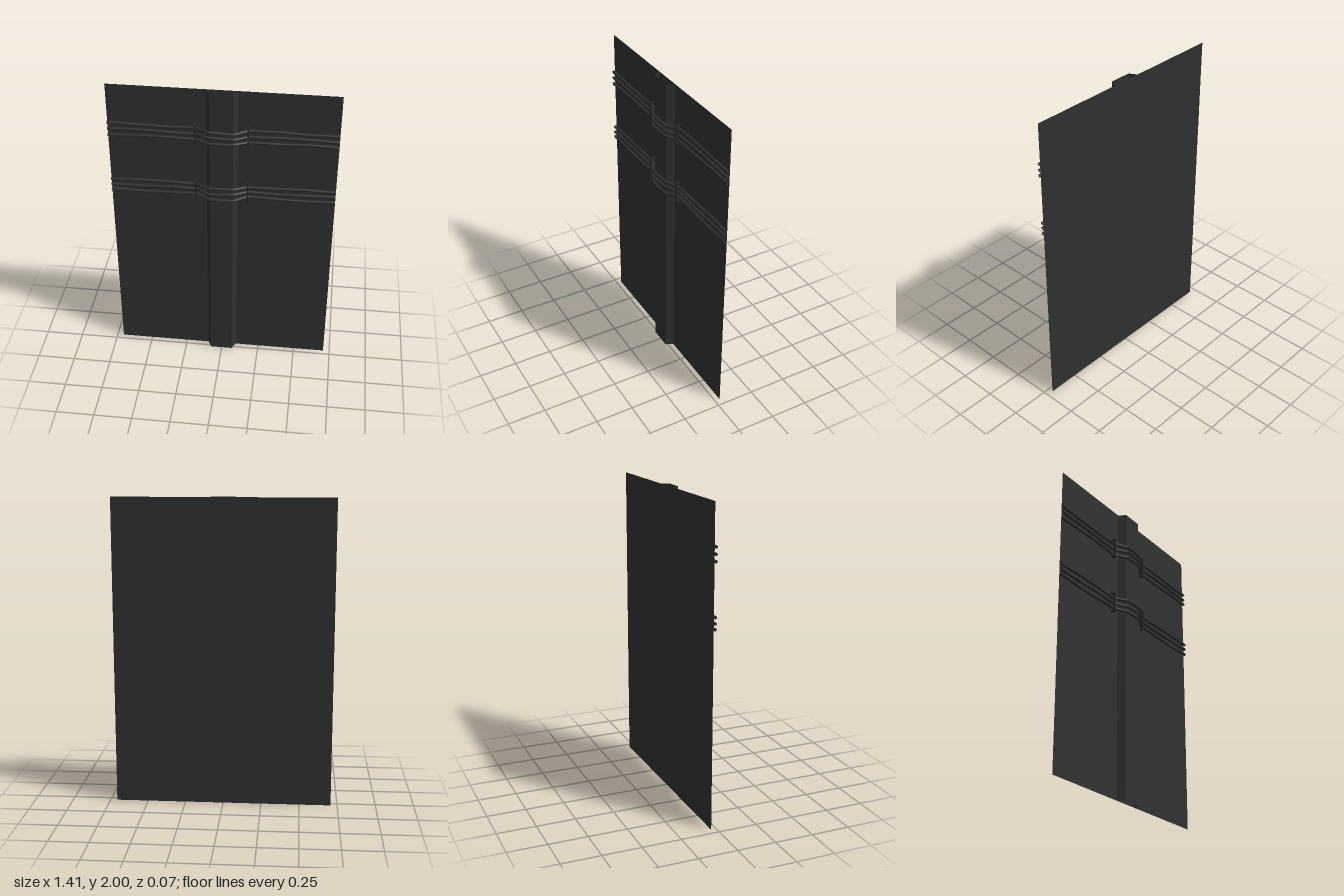
import * as THREE from 'three';

const charcoal = new THREE.MeshStandardMaterial({ color: 0x303030, side: THREE.DoubleSide });
charcoal.name = 'charcoal';
const darkMetal = new THREE.MeshStandardMaterial({ color: 0x2a2a2a });
darkMetal.name = 'dark metal';

const HALF = 0.707, HEIGHT = 2, BACK = -0.034, RIB = 0.015;

function add(parent, geometry, material, name, x = 0, y = 0, z = 0) {
  const mesh = new THREE.Mesh(geometry, material);
  mesh.name = name;
  mesh.position.set(x, y, z);
  parent.add(mesh);
  return mesh;
}

// Open-ended upright strip rising from the panel: two bevels and a flat face
function ribGeometry() {
  const profile = [[-0.1, BACK], [-0.073, RIB], [0.07, RIB], [0.094, BACK]];
  const pos = [];
  for (let i = 0; i < profile.length - 1; i++) {
    const [x0, z0] = profile[i], [x1, z1] = profile[i + 1];
    pos.push(x0, 0, z0, x1, 0, z1, x1, HEIGHT, z1, x0, 0, z0, x1, HEIGHT, z1, x0, HEIGHT, z0);
  }
  const g = new THREE.BufferGeometry();
  g.setAttribute('position', new THREE.Float32BufferAttribute(pos, 3));
  g.computeVertexNormals();
  return g;
}

// Cable lying on the panel and stepping over the rib, with a slight sag
function cableGeometry(y, seed) {
  const path = [
    [-HALF, -0.024], [-0.48, -0.024], [-0.3, -0.024], [-0.165, -0.024], [-0.075, 0.0245],
    [0.073, 0.0245], [0.157, -0.024], [0.35, -0.024], [0.53, -0.024], [HALF, -0.024],
  ];
  const points = path.map(([x, z], i) =>
    new THREE.Vector3(x, y + 0.004 * Math.sin(i * 1.9 + seed * 1.3), z));
  const curve = new THREE.CatmullRomCurve3(points, false, 'catmullrom', 0.08);
  return new THREE.TubeGeometry(curve, 120, 0.01, 8, false);
}

// Staple-shaped clip holding three cables
function makeClip(x, y) {
  const clip = new THREE.Group();
  clip.name = 'cableClip';
  add(clip, new THREE.BoxGeometry(0.01, 0.136, 0.01), darkMetal, 'clipBar', 0, 0, -0.009);
  for (const s of [-1, 1]) {
    add(clip, new THREE.BoxGeometry(0.012, 0.012, 0.03), darkMetal, 'clipLeg', 0, s * 0.064, -0.019);
  }
  clip.position.set(x, y, 0);
  return clip;
}

export function createModel() {
  const model = new THREE.Group();
  model.name = 'wallPanel';

  // Flat sheet and centre rib
  add(model, new THREE.PlaneGeometry(HALF * 2, HEIGHT), charcoal, 'panelSheet', 0, HEIGHT / 2, BACK);
  add(model, ribGeometry(), charcoal, 'centreRib');

  // Two bundles of three cables with clips either side of the rib
  [1.7, 1.298].forEach((y, b) => {
    const bundle = new THREE.Group();
    bundle.name = b ? 'lowerCableBundle' : 'upperCableBundle';
    for (let i = -1; i <= 1; i++) {
      add(bundle, cableGeometry(y + i * 0.039, b * 3 + i), charcoal, 'cable');
    }
    for (const x of [-0.167, 0.158]) bundle.add(makeClip(x, y + 0.002));
    model.add(bundle);
  });

  return model;
}
